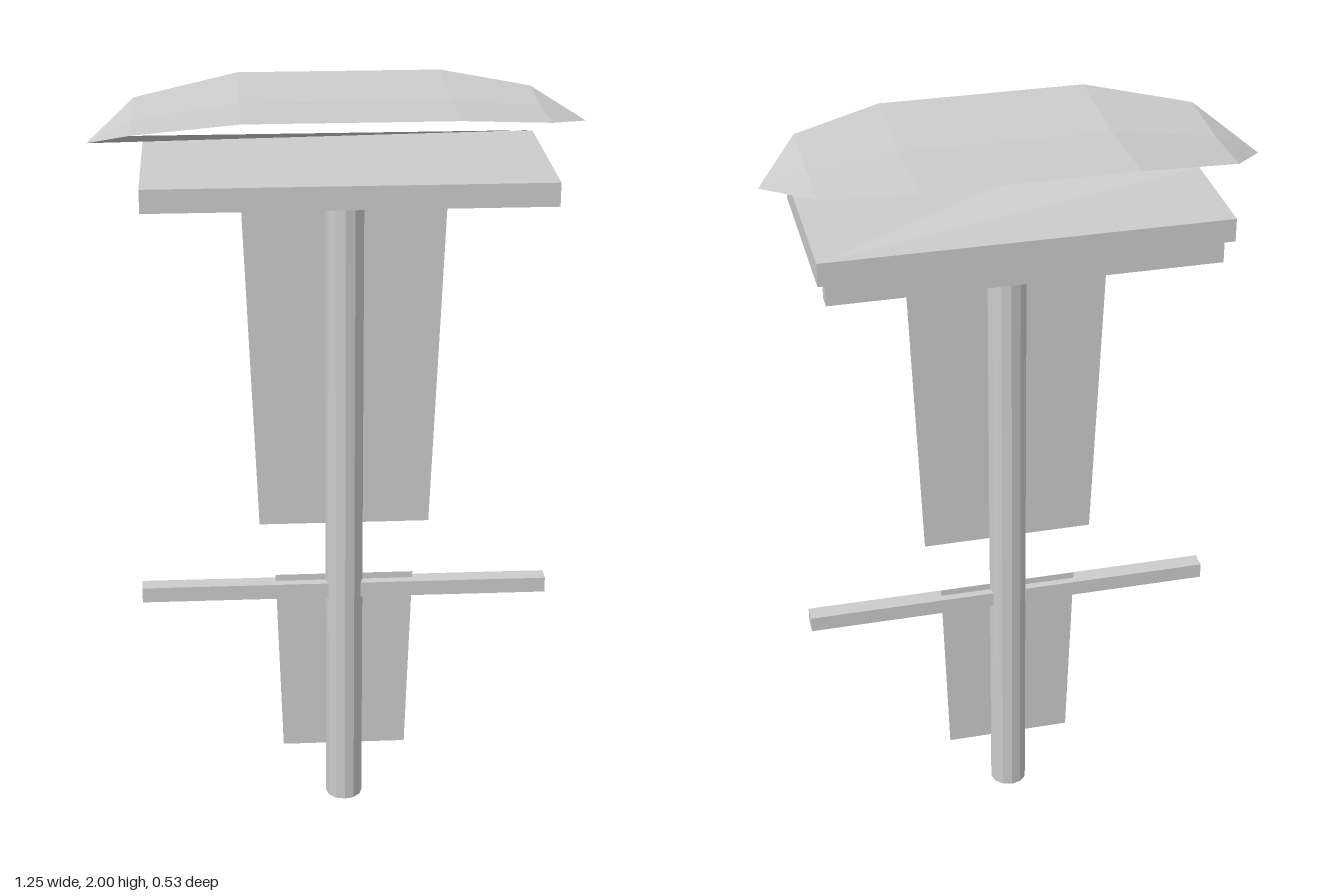
import * as THREE from 'three';

const solid = new THREE.MeshStandardMaterial({ color: 0xcccccc, flatShading: true });
const sheet = new THREE.MeshStandardMaterial({ color: 0xcccccc, flatShading: true, side: THREE.DoubleSide });

export function createModel() {
  const group = new THREE.Group();
  const cx = 0.016; // shared centre line of the post and everything fixed to it

  const add = (name, geometry, material = solid) => {
    const mesh = new THREE.Mesh(geometry, material);
    mesh.name = name;
    group.add(mesh);
    return mesh;
  };
  const box = (name, w, h, d, y, z) =>
    add(name, new THREE.BoxGeometry(w, h, d)).position.set(cx, y, z);

  // Open surface from points and triangle indices
  const surface = (points, index) => {
    const g = new THREE.BufferGeometry();
    g.setAttribute('position', new THREE.Float32BufferAttribute(points.flat(), 3));
    g.setIndex(index);
    g.computeVertexNormals();
    return g;
  };

  // Post
  add('post', new THREE.CylinderGeometry(0.05, 0.05, 1.78, 12)).position.set(cx, 0.89, 0);

  // Wooden parts
  box('topBoard', 1.016, 0.06, 0.49, 1.81, 0);
  box('backRail', 0.976, 0.064, 0.042, 1.748, -0.203);
  box('crossbar', 1.092, 0.042, 0.046, 0.646, 0.002);

  // Tapered cloth panels hanging in the plane of the post
  const panel = (name, topY, topHalf, bottomY, bottomHalf) => {
    const shape = new THREE.Shape();
    shape.moveTo(cx - bottomHalf, bottomY);
    shape.lineTo(cx + bottomHalf, bottomY);
    shape.lineTo(cx + topHalf, topY);
    shape.lineTo(cx - topHalf, topY);
    add(name, new THREE.ShapeGeometry(shape), sheet);
  };
  panel('upperBanner', 1.737, 0.262, 0.837, 0.227);
  panel('lowerBanner', 0.685, 0.186, 0.155, 0.169);

  // Arched canopy: cross-sections [x, edge height, centre height, half width]
  const sections = [
    [-0.625, 1.89, 1.89, 0],
    [-0.51, 1.957, 1.947, 0.19],
    [-0.245, 2.0, 1.985, 0.265],
    [0.28, 2.0, 1.987, 0.265],
    [0.505, 1.973, 1.967, 0.19],
    [0.62, 1.928, 1.928, 0],
  ];
  const points = [], index = [];
  sections.forEach(([x, edge, mid, half], i) => {
    points.push([x, edge, -half], [x, mid, 0], [x, edge, half]);
    if (i === 0) return;
    for (let j = 0; j < 2; j++) {
      const a = (i - 1) * 3 + j, b = a + 3;
      if (i > 1) index.push(a, a + 1, b);
      if (i < 5) index.push(a + 1, b + 1, b);
      // Pointed ends close with a single triangle on each side
      if (i === 1) index[index.length - 3] = 1;
      if (i === 5) index[index.length - 1] = 16;
    }
  });
  add('canopy', surface(points, index), sheet);

  // Loose flap stretched from the canopy's end to the back corner of the board
  add('canopyFlap', surface(
    [[-0.625, 1.89, 0], [-0.51, 1.957, 0.19], [0.524, 1.841, -0.245]], [0, 1, 2]), sheet);

  return group;
}
